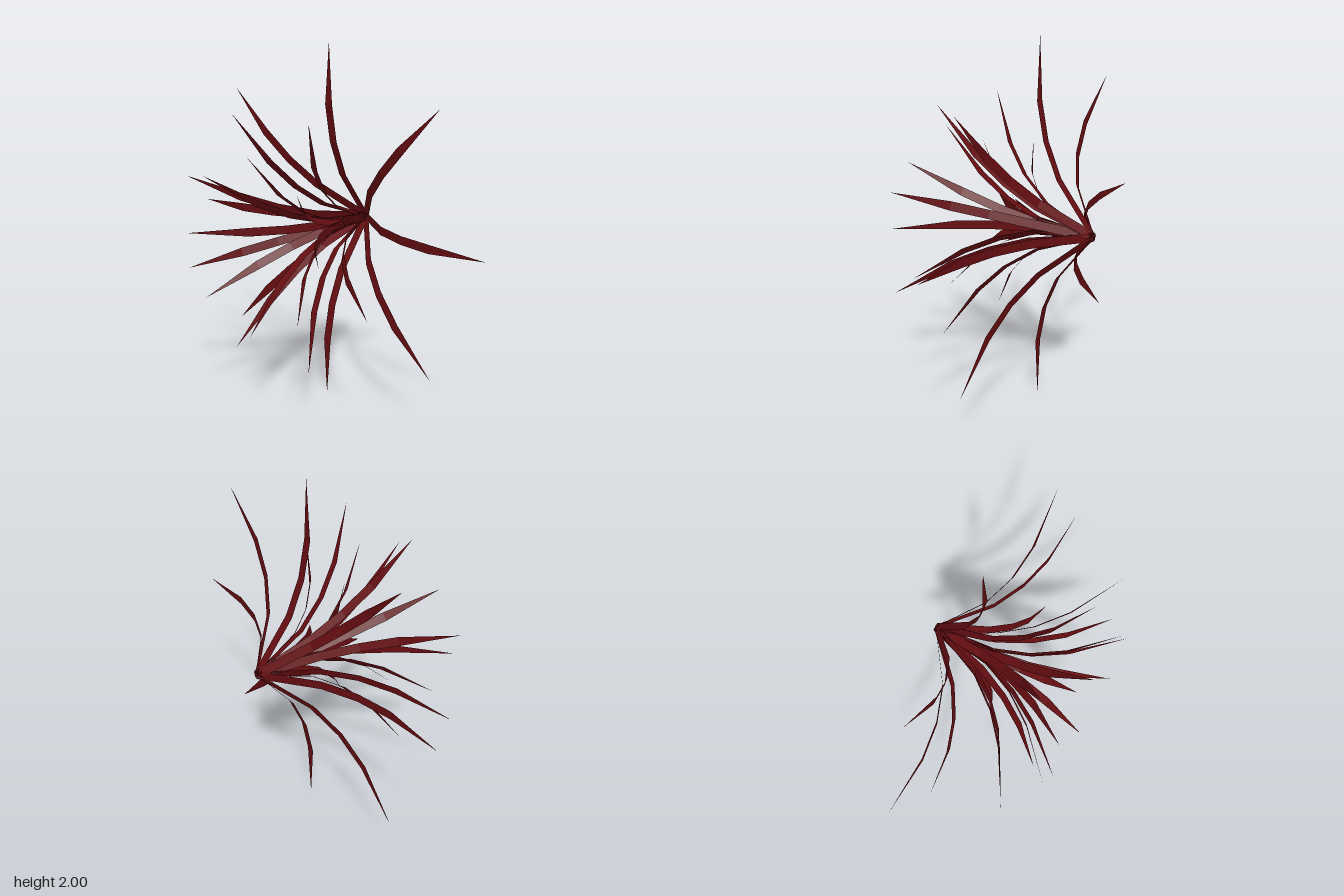
import * as THREE from 'three';

const HUB_Z = -0.47;
const HALF_WIDTH = 0.024;
// One blade: segment lengths and their lean away from the +z axis in degrees
const LENGTHS = [0.345, 0.21, 0.21, 0.33];
const LEANS = [52, 67, 79, 90];

// Flat ribbon in the y-z plane, bending outwards and ending in a point
function bladeGeometry(tilt) {
  const positions = [];
  let r = 0, z = 0;
  let left = [-HALF_WIDTH, 0, 0], right = [HALF_WIDTH, 0, 0];
  LENGTHS.forEach((length, i) => {
    const lean = THREE.MathUtils.degToRad(LEANS[i] - tilt);
    r += length * Math.sin(lean);
    z += length * Math.cos(lean);
    if (i === LENGTHS.length - 1) {
      positions.push(...left, ...right, 0, r, z);
    } else {
      const nextLeft = [-HALF_WIDTH, r, z], nextRight = [HALF_WIDTH, r, z];
      positions.push(...left, ...right, ...nextRight, ...left, ...nextRight, ...nextLeft);
      left = nextLeft;
      right = nextRight;
    }
  });
  const geometry = new THREE.BufferGeometry();
  geometry.setAttribute('position', new THREE.Float32BufferAttribute(positions, 3));
  geometry.computeVertexNormals();
  return geometry;
}

export function createModel() {
  const model = new THREE.Group();
  model.name = 'bladeBurst';
  const material = new THREE.MeshStandardMaterial({
    color: 0x640d11, flatShading: true, side: THREE.DoubleSide,
  });

  // Three rings of eight blades; the middle ring is turned by half a step
  const rings = [
    { name: 'outerBlade', tilt: 0, turn: 0 },
    { name: 'middleBlade', tilt: 30, turn: Math.PI / 8 },
    { name: 'innerBlade', tilt: 45, turn: 0 },
  ];
  for (const { name, tilt, turn } of rings) {
    const geometry = bladeGeometry(tilt);
    const ring = new THREE.Group();
    ring.name = name + 'Ring';
    for (let i = 0; i < 8; i++) {
      const blade = new THREE.Mesh(geometry, material);
      blade.name = name;
      blade.rotation.z = turn + (i * Math.PI) / 4;
      ring.add(blade);
    }
    ring.position.set(0, 1, HUB_Z);
    model.add(ring);
  }
  return model;
}
